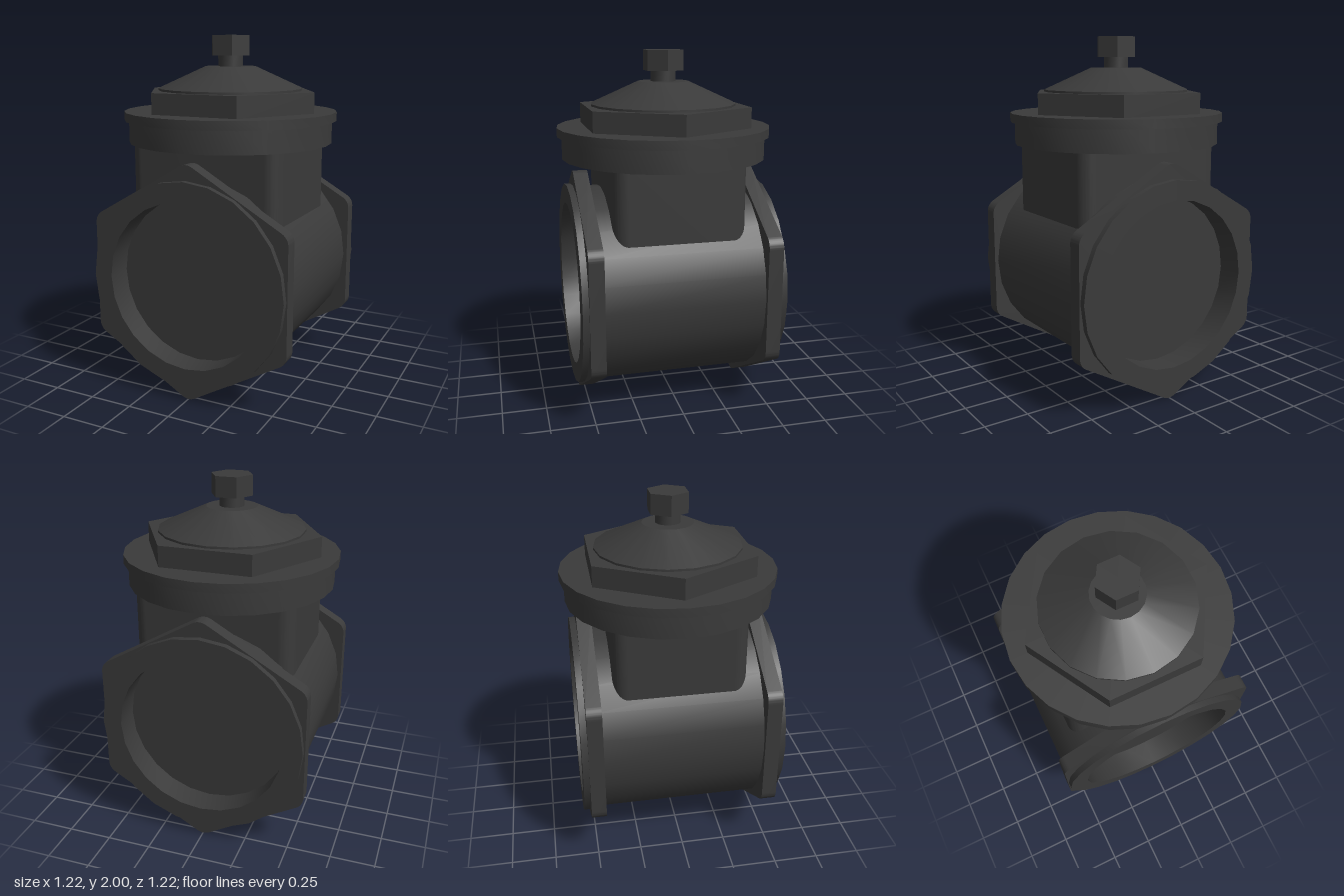
import * as THREE from 'three';
import { toCreasedNormals } from 'three/addons/utils/BufferGeometryUtils.js';

const material = new THREE.MeshStandardMaterial({ color: 0x3a3a3a });

function add(parent, name, geometry) {
  const mesh = new THREE.Mesh(toCreasedNormals(geometry, 0.4), material);
  mesh.name = name;
  parent.add(mesh);
  return mesh;
}

// Solid of revolution from [radius, height] pairs, listed bottom to top
function turned(profile, segments) {
  return new THREE.LatheGeometry(profile.map(([r, y]) => new THREE.Vector2(r, y)), segments);
}

// Vertical prism with corners on the x axis when it is a hexagon
function hexPrism(radius, y0, y1) {
  return new THREE.CylinderGeometry(radius, radius, y1 - y0, 6)
    .rotateY(Math.PI / 2)
    .translate(0, (y0 + y1) / 2, 0);
}

// Convex outline with an arc of radius r around each corner centre
function roundedOutline(centres, r, startAngle) {
  const shape = new THREE.Shape();
  const step = (Math.PI * 2) / centres.length;
  centres.forEach(([x, y], i) => {
    const mid = startAngle + i * step;
    shape.absarc(x, y, r, mid - step / 2, mid + step / 2, false);
  });
  return shape;
}

export function createModel() {
  const group = new THREE.Group();
  const axisY = 0.667;

  // Horizontal pipe with end rings and a round recess at both ends
  const pipe = add(group, 'pipeBody', turned([
    [0, -0.415], [0.472, -0.415], [0.472, -0.565], [0.582, -0.565], [0.582, -0.49], [0.567, -0.49],
    [0.567, 0.49], [0.582, 0.49], [0.582, 0.565], [0.472, 0.565], [0.472, 0.415], [0, 0.415],
  ], 24).rotateX(Math.PI / 2));
  pipe.position.y = axisY;

  // Rounded hexagonal flanges near each pipe end, open around the pipe
  const cornerR = 0.075;
  const centreR = (0.587 - cornerR) / Math.cos(Math.PI / 6);
  const hexCentres = Array.from({ length: 6 }, (_, i) => {
    const a = Math.PI / 2 + (i * Math.PI) / 3;
    return [centreR * Math.cos(a), centreR * Math.sin(a)];
  });
  const hexShape = roundedOutline(hexCentres, cornerR, Math.PI / 2);
  hexShape.holes.push(new THREE.Path().absarc(0, 0, 0.52, 0, Math.PI * 2, true));
  for (const [name, z] of [['frontHexFlange', 0.447], ['backHexFlange', -0.53]]) {
    const flange = add(group, name, new THREE.ExtrudeGeometry(hexShape, {
      depth: 0.083, bevelEnabled: false, curveSegments: 8,
    }));
    flange.position.set(0, axisY, z);
  }

  // Neck: rounded rectangular column rising out of the pipe
  const r = 0.08, cx = 0.457 - r, cz = 0.37 - r;
  const neckShape = roundedOutline([[cx, cz], [-cx, cz], [-cx, -cz], [cx, -cz]], r, Math.PI / 4);
  const neck = add(group, 'neck', new THREE.ExtrudeGeometry(neckShape, {
    depth: 0.56, bevelEnabled: false, curveSegments: 8,
  }).rotateX(-Math.PI / 2));
  neck.position.y = 0.86;

  // Round collar with a wider rim
  add(group, 'collar', turned([
    [0, 1.4], [0.585, 1.4], [0.585, 1.527], [0.61, 1.527], [0.61, 1.577], [0, 1.577],
  ], 24));

  // Bonnet: hexagonal base below a conical cap
  add(group, 'bonnetHex', hexPrism(0.512, 1.57, 1.693));
  add(group, 'bonnetCone', turned([
    [0, 1.68], [0.413, 1.68], [0.413, 1.705], [0.144, 1.827], [0, 1.827],
  ], 18));

  // Stem and hexagonal nut
  add(group, 'stem', new THREE.CylinderGeometry(0.07, 0.07, 0.09, 18).translate(0, 1.855, 0));
  add(group, 'stemNut', hexPrism(0.119, 1.887, 2));

  return group;
}
